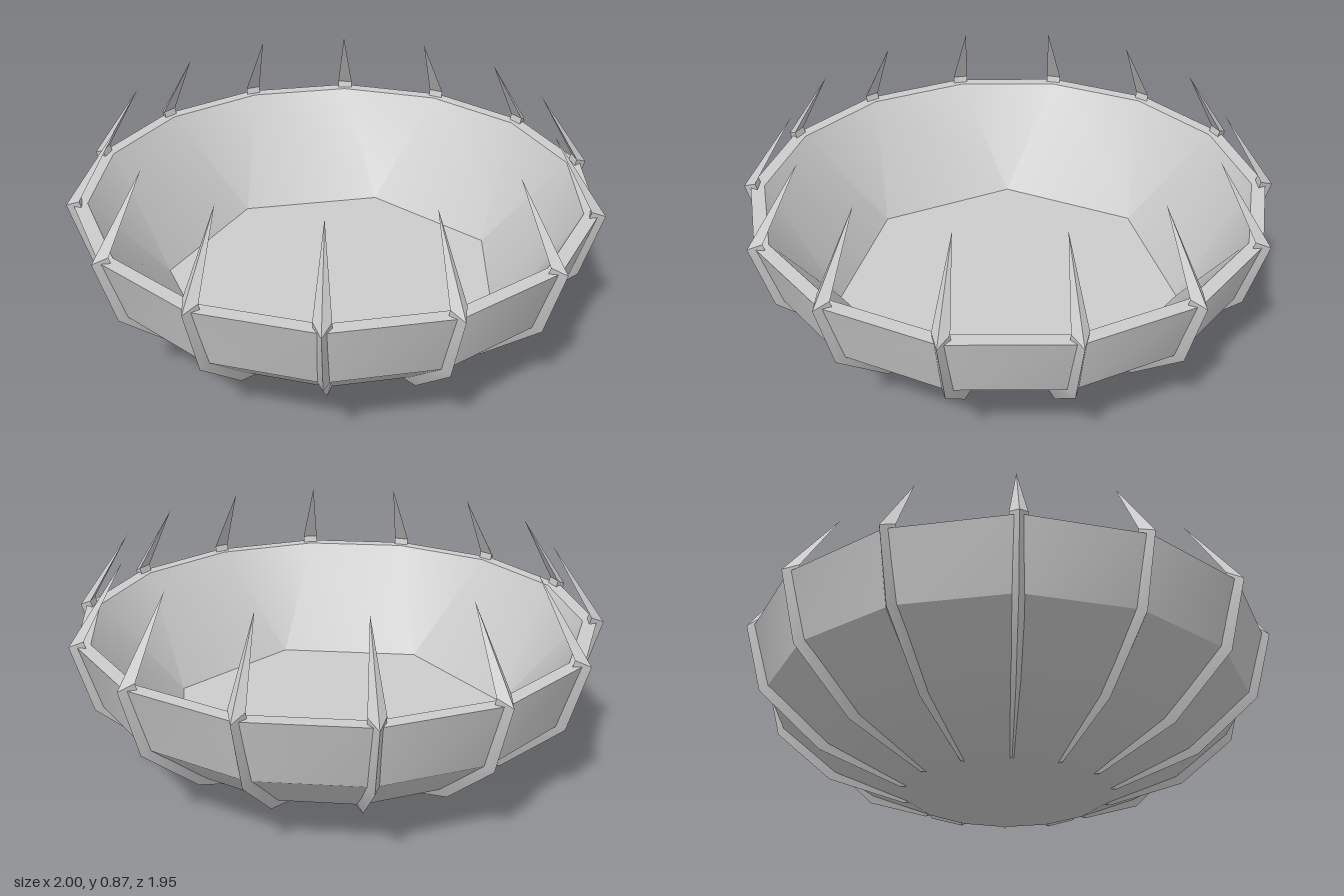
import * as THREE from 'three';
import { toCreasedNormals } from 'three/addons/utils/BufferGeometryUtils.js';

const SIDES = 14;
const STEP = (Math.PI * 2) / SIDES;
const material = new THREE.MeshStandardMaterial({ color: 0xcccccc });

// Point on a circle, measured in steps of the bowl's sides
const polar = (r, y, step) => [r * Math.cos(step * STEP), y, r * Math.sin(step * STEP)];

// Ring of points, one every `stride` sides
function ring(r, y, stride = 1, offset = 0) {
  const pts = [];
  for (let i = 0; i < SIDES; i += stride) pts.push(polar(r, y, i + offset));
  return pts;
}

// Collects triangles and quads, then makes a mesh with soft panels and sharp creases
class Surface {
  positions = [];
  tri(a, b, c) {
    this.positions.push(...a, ...b, ...c);
  }
  quad(a, b, c, d) {
    this.tri(a, b, c);
    this.tri(a, c, d);
  }
  strip(upper, lower) {
    const n = upper.length;
    for (let i = 0; i < n; i++) {
      const k = (i + 1) % n;
      this.quad(upper[i], upper[k], lower[k], lower[i]);
    }
  }
  geometry(creaseDegrees) {
    const g = new THREE.BufferGeometry();
    g.setAttribute('position', new THREE.Float32BufferAttribute(this.positions, 3));
    return toCreasedNormals(g, THREE.MathUtils.degToRad(creaseDegrees));
  }
}

function mesh(name, geometry) {
  const m = new THREE.Mesh(geometry, material);
  m.name = name;
  return m;
}

// Bowl: fourteen-sided outside, flat rim, inside narrowing to a seven-sided floor
function createBowl() {
  const s = new Surface();
  const rimInner = ring(0.923, 0.575);
  const outside = [[0.975, 0.575], [0.905, 0.335], [0.675, 0.135], [0.375, 0]].map(([r, y]) => ring(r, y));

  // Rim and outer wall
  s.strip(rimInner, outside[0]);
  for (let i = 0; i < outside.length - 1; i++) s.strip(outside[i], outside[i + 1]);

  // Flat underside
  const base = outside[outside.length - 1];
  base.forEach((p, i) => s.tri(p, base[(i + 1) % SIDES], [0, 0, 0]));

  // Inner wall and floor
  const floorY = 0.16;
  const floor = ring(0.667, floorY, 2, 0.5);
  floor.forEach((p, k) => {
    const next = floor[(k + 1) % floor.length];
    const a = rimInner[2 * k];
    const b = rimInner[2 * k + 1];
    const c = rimInner[(2 * k + 2) % SIDES];
    s.tri(a, p, b);
    s.quad(b, p, next, c);
    s.tri(next, p, [0, floorY, 0]);
  });
  return mesh('bowl', s.geometry(30));
}

// Rib: ridged strip climbing the bowl and ending in an inward-leaning spike
function createRibGeometry() {
  // Ridge radius, ridge height, back radius, back height, half width
  const stations = [
    [1.0, 0.575, 0.95, 0.6, 0.03],
    [0.93, 0.32, 0.885, 0.34, 0.029],
    [0.7, 0.115, 0.66, 0.15, 0.025],
    [0.4, 0, 0.35, 0.005, 0.015],
  ];
  const sections = stations.map(([r, y, br, by, w]) => [[br, by, -w], [r, y, 0], [br, by, w]]);
  const s = new Surface();
  for (let i = 0; i < sections.length - 1; i++) s.strip(sections[i], sections[i + 1]);
  s.tri(...sections[sections.length - 1]);

  // Spike
  const tip = [0.79, 0.865, 0];
  const top = sections[0];
  top.forEach((p, i) => s.tri(tip, top[(i + 1) % 3], p));
  return s.geometry(20);
}

export function createModel() {
  const model = new THREE.Group();
  model.name = 'ribbedBowl';
  model.add(createBowl());

  const ribs = new THREE.Group();
  ribs.name = 'ribs';
  const ribGeometry = createRibGeometry();
  for (let i = 0; i < SIDES; i++) {
    const rib = mesh('rib', ribGeometry);
    rib.rotation.y = i * STEP;
    ribs.add(rib);
  }
  model.add(ribs);
  return model;
}
